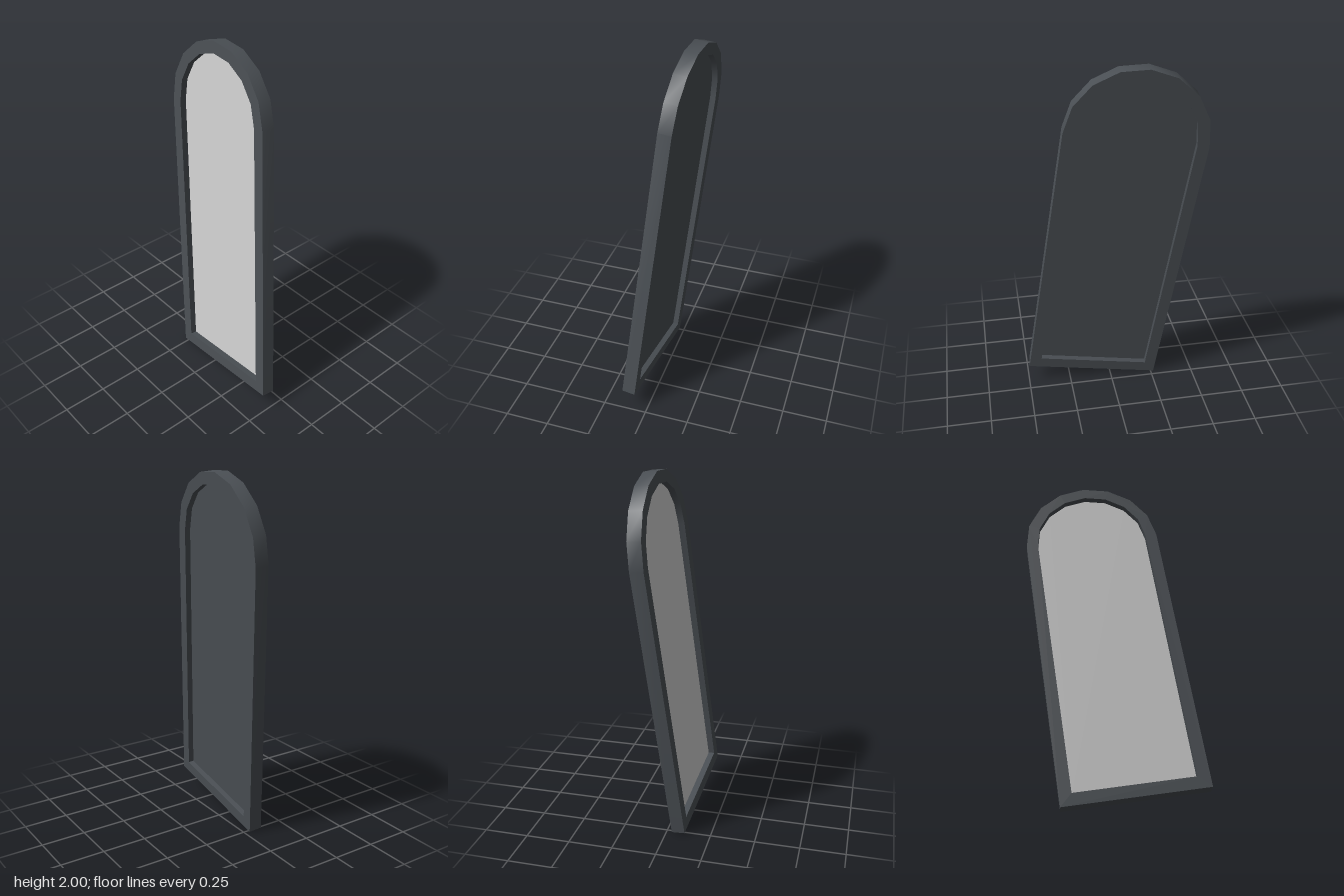
import * as THREE from 'three';
import { toCreasedNormals } from 'three/addons/utils/BufferGeometryUtils.js';

const HALF = 0.385;    // half width, also the arch radius
const SIDE = 1.58;     // height of the straight sides
const BORDER = 0.065;  // width of the frame
const DEPTH = 0.075;   // thickness of the frame
const SEGMENTS = 8;    // facets of the arch

// Arched outline, set in from the outer edge by the given amount
function archPoints(inset) {
  const r = HALF - inset;
  const points = [new THREE.Vector2(-r, inset), new THREE.Vector2(r, inset)];
  for (let i = 0; i <= SEGMENTS; i++) {
    const a = (i / SEGMENTS) * Math.PI;
    points.push(new THREE.Vector2(r * Math.cos(a), SIDE + r * Math.sin(a)));
  }
  return points;
}

export function createModel() {
  const frameMaterial = new THREE.MeshStandardMaterial({ color: 0x4a4f54 });
  frameMaterial.name = 'dark grey frame';
  const glassMaterial = new THREE.MeshStandardMaterial({ color: 0xd0d0d0 });
  glassMaterial.name = 'pale grey glass';

  const group = new THREE.Group();
  group.name = 'archedMirror';
  const add = (name, geometry, material) => {
    const mesh = new THREE.Mesh(geometry, material);
    mesh.name = name;
    group.add(mesh);
    return mesh;
  };

  // Frame with its front face at z = 0
  const outline = new THREE.Shape(archPoints(0));
  outline.holes.push(new THREE.Path(archPoints(BORDER)));
  const frame = new THREE.ExtrudeGeometry(outline, { depth: DEPTH, bevelEnabled: false });
  frame.translate(0, 0, -DEPTH);
  add('frame', toCreasedNormals(frame, 0.5), frameMaterial);

  // Recessed glass and the backing behind it
  const pane = new THREE.Shape(archPoints(BORDER));
  add('glass', new THREE.ShapeGeometry(pane), glassMaterial).position.z = -0.036;
  const backing = add('backing', new THREE.ShapeGeometry(pane), frameMaterial);
  backing.rotation.y = Math.PI;
  backing.position.z = -0.043;

  // Lean back and to one side
  const across = new THREE.Vector3(0.988, 0.149, 0.0455).normalize();
  const up = new THREE.Vector3(-0.144, 0.985, -0.095);
  const out = across.clone().cross(up).normalize();
  up.crossVectors(out, across);
  group.quaternion.setFromRotationMatrix(new THREE.Matrix4().makeBasis(across, up, out));
  group.position.set(0.11, 0.064, 0.1225);

  const model = new THREE.Group();
  model.name = 'leaningMirror';
  model.add(group);
  return model;
}
